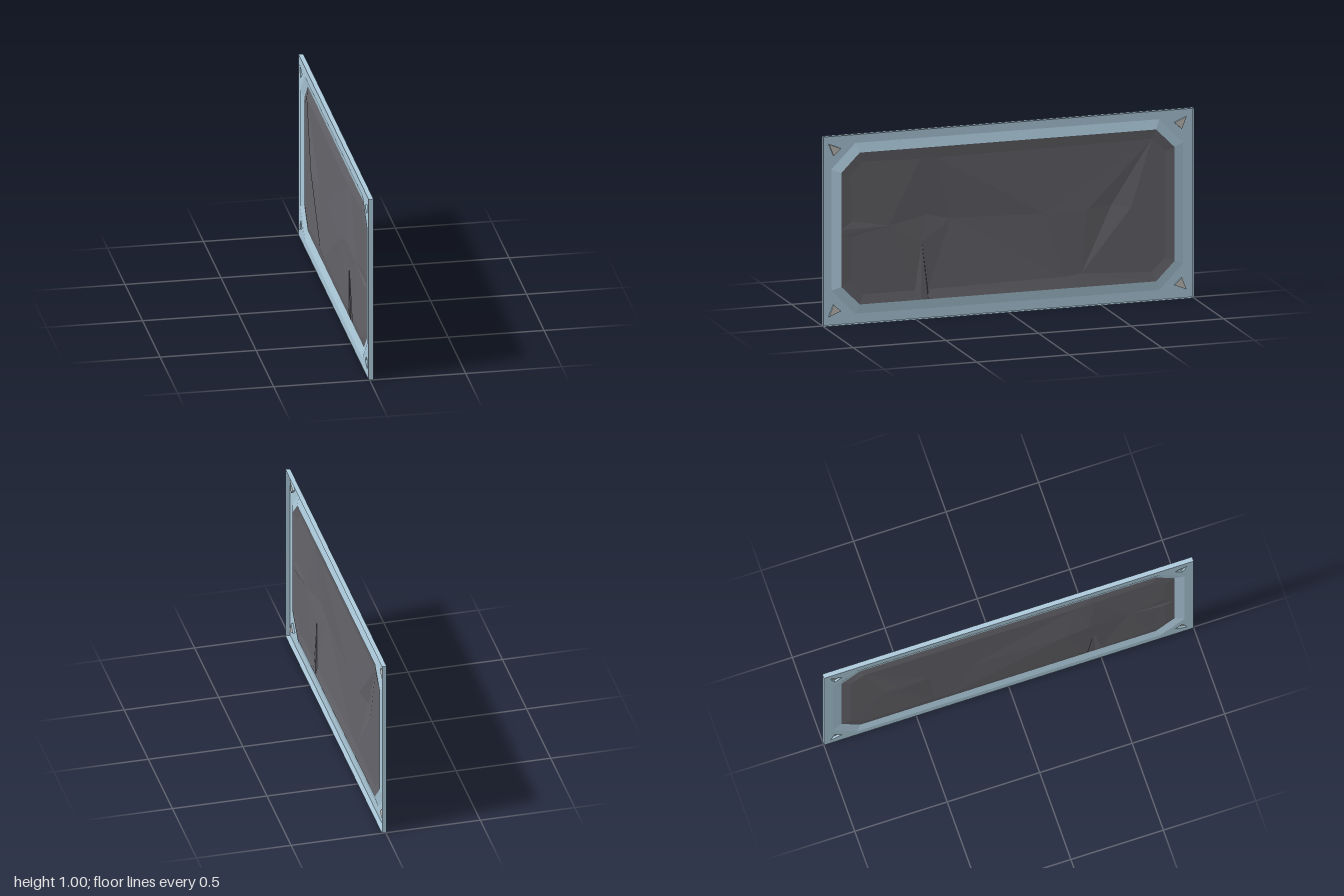
import * as THREE from 'three';

const material = (color) => new THREE.MeshStandardMaterial({ color, flatShading: true, side: THREE.DoubleSide });

// Flat-shaded mesh from points and triangle indices
function facets(name, points, index, mat) {
  const geo = new THREE.BufferGeometry();
  geo.setAttribute('position', new THREE.Float32BufferAttribute(points.flat(), 3));
  geo.setIndex(index.flat());
  const flat = geo.toNonIndexed();
  flat.computeVertexNormals();
  const mesh = new THREE.Mesh(flat, mat);
  mesh.name = name;
  return mesh;
}

// Closed strip between two loops with the same number of points
function band(name, a, b, mat) {
  const n = a.length, index = [];
  for (let i = 0; i < n; i++) {
    const j = (i + 1) % n;
    index.push(i, j, n + j, i, n + j, n + i);
  }
  return facets(name, [...a, ...b], index, mat);
}

const atDepth = (loop, d) => loop.map(([u, v]) => [u, v, d]);
const path = (loop) => loop.map(([u, v]) => new THREE.Vector2(u, v));

// Rectangle with cut corners, centred on v = 0.5
function octagon(w, h, c) {
  return [[w, -h + c], [w, h - c], [w - c, h], [-w + c, h], [-w, h - c], [-w, -h + c], [-w + c, -h], [w - c, -h]]
    .map(([u, v]) => [u, v + 0.5]);
}

export function createModel() {
  const group = new THREE.Group();
  group.name = 'wallPanel';
  const metal = material(0xadcbdc), stone = material(0x64646a), grey = material(0xc4c0bc);
  const FACE = 0.005, BACK = -0.02, RECESS = -0.007, NOTCH = -0.006;

  // Panel is modelled facing +z, then turned so its face looks along -x
  const panel = new THREE.Group();
  panel.name = 'panel';
  panel.rotation.y = -Math.PI / 2;
  group.add(panel);

  // Frame face with the opening and four triangular corner recesses
  const border = [[-1, 0], [1, 0], [1, 1], [-1, 1]];
  const opening = octagon(0.95, 0.45, 0.13);
  const corners = [];
  for (const su of [1, -1]) for (const sv of [1, -1]) {
    corners.push([[0.965, 0.455], [0.9, 0.428], [0.94, 0.392]].map(([u, v]) => [su * u, 0.5 + sv * v]));
  }
  const shape = new THREE.Shape(path(border));
  for (const hole of [opening, ...corners]) shape.holes.push(new THREE.Path(path(hole)));
  const face = new THREE.Mesh(new THREE.ShapeGeometry(shape), metal);
  face.name = 'frameFace';
  face.position.z = FACE;
  panel.add(face);

  // Outer rim and sloping inner edge
  panel.add(band('frameRim', atDepth(border, BACK), atDepth(border, FACE), metal));
  panel.add(band('frameBevel', atDepth(opening, FACE), atDepth(octagon(0.9, 0.4, 0.1), RECESS), metal));

  // Corner recesses
  for (const c of corners) {
    panel.add(band('cornerRecessWall', atDepth(c, FACE), atDepth(c, NOTCH), metal));
    panel.add(facets('cornerRecessFloor', atDepth(c, NOTCH), [0, 1, 2], grey));
  }

  // Stone slab: outer edge, with two narrow chips
  const edge = [
    [0.9, 0.2], [0.9, 0.47], [0.9, 0.5], [0.9, 0.54], [0.9, 0.8], [0.8, 0.9], [0.47, 0.9], [0.38, 0.9], [-0.8, 0.9],
    [-0.9, 0.8], [-0.9, 0.2], [-0.8, 0.1], [-0.4, 0.1], [-0.3, 0.1], [0.43, 0.1], [0.47, 0.1], [0.5, 0.1], [0.8, 0.1],
  ];
  // Inner edge of the slab's chamfer; the two far-in points are chip tips
  const ring = [
    [0.85, 0.22, 0], [0.84, 0.46, 0], [0.64, 0.5, 0.002], [0.84, 0.54, 0], [0.85, 0.78, 0], [0.78, 0.85, 0],
    [0.47, 0.84, 0.001], [0.38, 0.84, 0.004], [-0.78, 0.85, 0.003], [-0.85, 0.78, 0], [-0.85, 0.22, 0],
    [-0.78, 0.15, 0], [-0.4, 0.17, 0.003], [-0.3, 0.16, 0.003], [0.43, 0.15, 0.003], [0.46, 0.4, 0.008],
    [0.5, 0.15, 0.001], [0.78, 0.15, 0],
  ];
  // Raised ridges of the rough surface
  const peaks = [
    [0.43, 0.54, 0.018], [0.3, 0.51, 0.02], [-0.2, 0.5, 0.005],
    [-0.43, 0.5, 0.003], [-0.57, 0.52, 0.02], [-0.67, 0.5, 0.004],
  ];
  const triangles = [
    [17, 0, 1], [17, 1, 2], [17, 2, 16], [16, 2, 15], [15, 2, 18], [2, 3, 4], [2, 4, 5], [2, 5, 6], [2, 6, 18],
    [18, 6, 7], [18, 7, 19], [15, 18, 19], [14, 15, 19], [13, 14, 19], [13, 19, 20], [19, 7, 20], [7, 8, 20],
    [8, 21, 20], [20, 21, 13], [21, 12, 13], [8, 22, 21], [22, 12, 21], [8, 23, 22], [22, 23, 12],
    [23, 11, 12], [8, 9, 23], [9, 10, 23], [10, 11, 23],
  ];
  panel.add(band('slabChamfer', atDepth(edge, RECESS), ring, stone));
  panel.add(facets('slabSurface', [...ring, ...peaks], triangles, stone));
  return group;
}
